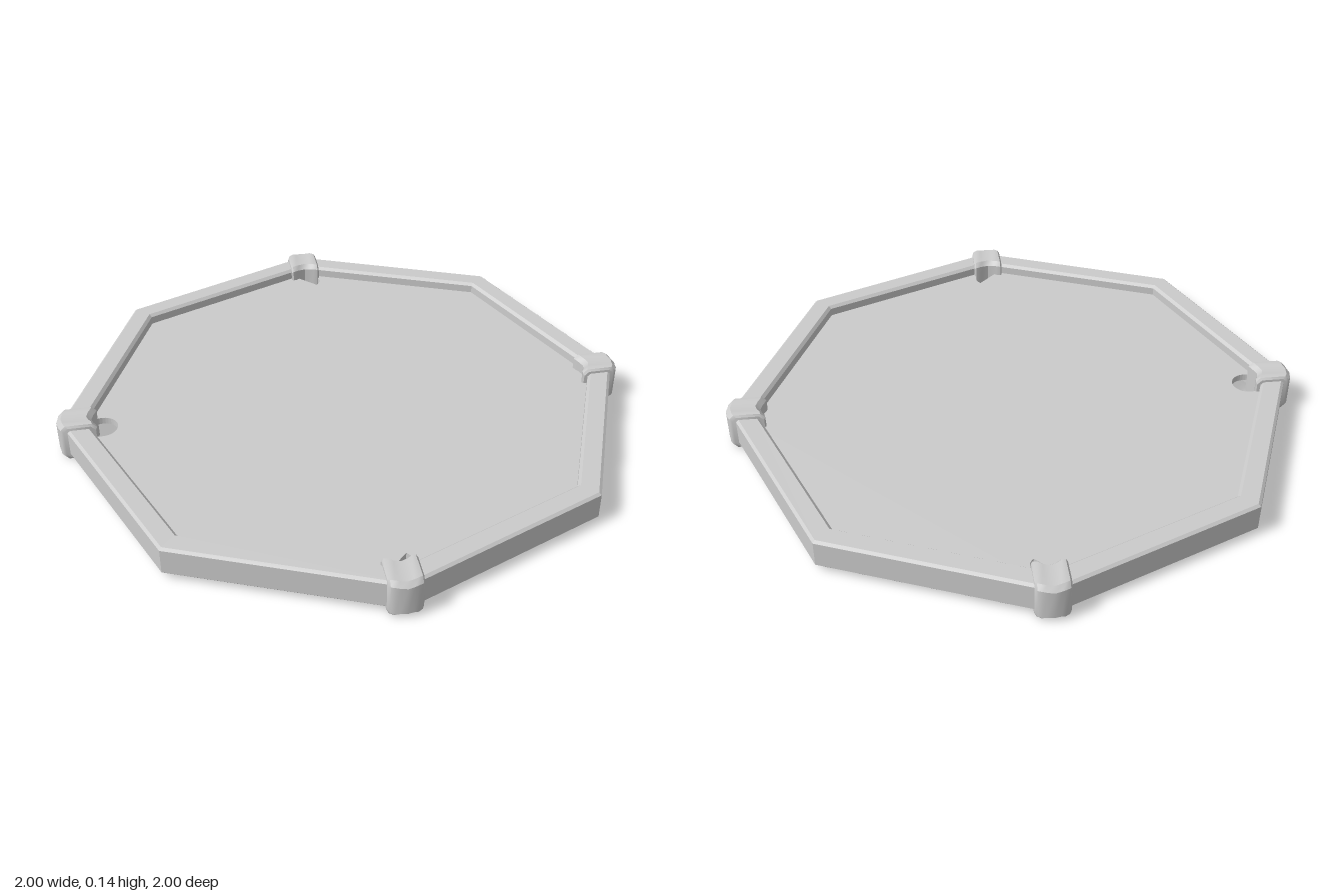
import * as THREE from 'three';
import { toCreasedNormals } from 'three/addons/utils/BufferGeometryUtils.js';

const material = new THREE.MeshStandardMaterial({ color: 0xcccccc });
const flat = new THREE.MeshStandardMaterial({ color: 0xcccccc, flatShading: true });
const BEND = Math.tan(Math.PI / 8); // each rail turns away from the corner by 22.5 degrees

function add(parent, name, geometry, mat) {
  const mesh = new THREE.Mesh(geometry, mat);
  mesh.name = name;
  parent.add(mesh);
  return mesh;
}

// Eight-sided rail with softened top and bottom edges
function railGeometry() {
  const profile = [
    [0.993, 0.02], [1, 0.027], [1, 0.116], [0.99, 0.124],
    [0.926, 0.124], [0.915, 0.114], [0.915, 0.03], [0.926, 0.02], [0.993, 0.02],
  ].map(([r, y]) => new THREE.Vector2(r, y));
  return new THREE.LatheGeometry(profile, 8);
}

// Octagonal panel with a round cut-out, whole or partial, at each clamp
function panelGeometry() {
  const shape = new THREE.Shape();
  for (let i = 0; i < 8; i++) {
    const a = i * Math.PI / 4;
    shape[i ? 'lineTo' : 'moveTo'](0.955 * Math.cos(a), 0.955 * Math.sin(a));
  }
  shape.closePath();
  const c = 0.608, r = 0.054, H = Math.PI / 2;
  const cuts = [[-c, c, 0, 4 * H], [c, c, -H, H], [-c, -c, 2 * H, 4 * H], [c, -c, -H, 0]];
  for (const [x, z, from, to] of cuts) {
    const hole = new THREE.Path();
    if (to - from < 2 * H) hole.moveTo(x, z);
    hole.absarc(x, z, r, from, to, false);
    hole.closePath();
    shape.holes.push(hole);
  }
  const g = new THREE.ExtrudeGeometry(shape, { depth: 0.025, bevelEnabled: false, curveSegments: 16 });
  return g.rotateX(H).translate(0, 0.085, 0);
}

// Sleeve lofted round the rail's corner: chamfered sections along the bend
function clampGeometry() {
  const stations = [[-0.056, 0.009], [-0.05, 0.002], [-0.036, 0], [-0.022, 0.003], [0, 0.004],
    [0.022, 0.003], [0.036, 0], [0.05, 0.002], [0.056, 0.009]];
  const positions = [], index = [], n = 8;
  for (const [t, inset] of stations) {
    const u0 = 0.89 + inset, u1 = 1.018 - inset, y0 = inset, y1 = 0.142 - inset, b = 0.016;
    const ring = [[u0 + b, y0], [u1 - b, y0], [u1, y0 + b], [u1, y1 - b],
      [u1 - b, y1], [u0 + b, y1], [u0, y1 - b], [u0, y0 + b]];
    const drop = BEND * Math.sqrt(t * t + 0.0001) - BEND * 0.01; // softened corner
    for (const [u, y] of ring) positions.push(u - drop, y, t);
  }
  const last = (stations.length - 1) * n;
  for (let s = 0; s < last; s += n) {
    for (let i = 0; i < n; i++) {
      const j = (i + 1) % n;
      index.push(s + i, s + n + i, s + j, s + j, s + n + i, s + n + j);
    }
  }
  for (let i = 1; i < n - 1; i++) { // end caps
    index.push(0, i, i + 1);
    index.push(last, last + i + 1, last + i);
  }
  // ring runs +x to +y while stations run along +z, so flip every face outwards
  for (let i = 0; i < index.length; i += 3) [index[i + 1], index[i + 2]] = [index[i + 2], index[i + 1]];
  const g = new THREE.BufferGeometry();
  g.setAttribute('position', new THREE.Float32BufferAttribute(positions, 3));
  g.setIndex(index);
  return toCreasedNormals(g, 0.6);
}

export function createModel() {
  const model = new THREE.Group();
  model.name = 'octagonalTray';
  add(model, 'rail', railGeometry(), flat);
  add(model, 'panel', panelGeometry(), material);

  // Four clamps on the diagonal corners
  const clamp = clampGeometry();
  for (let i = 0; i < 4; i++) {
    add(model, 'cornerClamp', clamp, material).rotation.y = Math.PI / 4 + i * Math.PI / 2;
  }
  return model;
}
